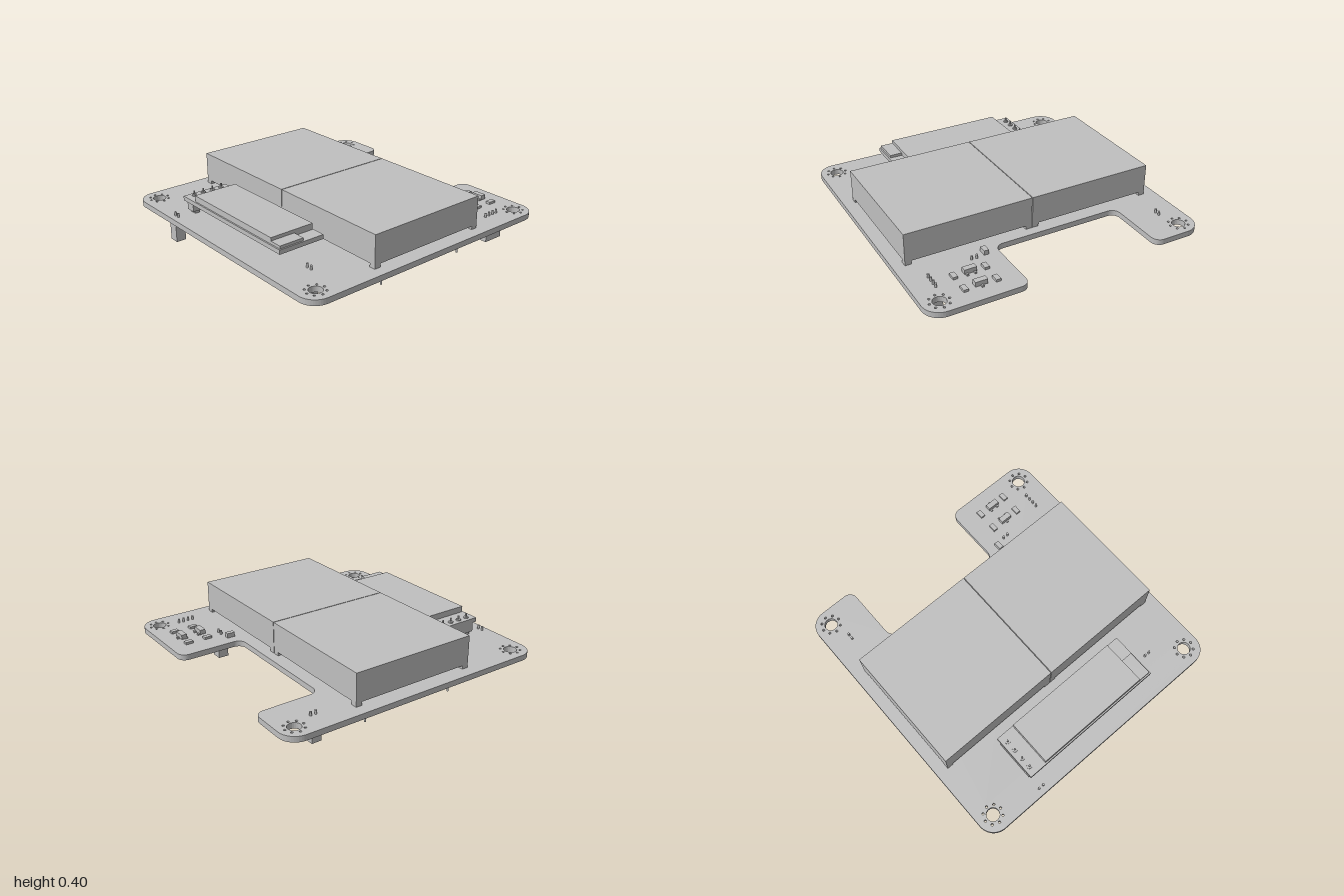
import * as THREE from 'three';

export function createModel() {
  const root = new THREE.Group();
  const grey = new THREE.MeshStandardMaterial({ color: 0xbfbfbf });
  grey.name = 'plain grey';
  const BOTTOM = 0.135, TOP = 0.175;

  const add = (name, geo, parent = root) => {
    const m = new THREE.Mesh(geo, grey);
    m.name = name;
    parent.add(m);
    return m;
  };
  const group = (name) => {
    const g = new THREE.Group();
    g.name = name;
    root.add(g);
    return g;
  };
  // Box given by its extents
  const box = (name, x0, x1, y0, y1, z0, z1, parent) => {
    const g = new THREE.BoxGeometry(x1 - x0, y1 - y0, z1 - z0);
    g.translate((x0 + x1) / 2, (y0 + y1) / 2, (z0 + z1) / 2);
    return add(name, g, parent);
  };
  const pin = (name, x, z, y0, y1, r, parent) => {
    const g = new THREE.CylinderGeometry(r, r, y1 - y0, 10);
    g.translate(x, (y0 + y1) / 2, z);
    return add(name, g, parent);
  };
  // Upright extrusion of a plan drawn as (x, -z)
  const slab = (name, shape, y0, y1, parent) => {
    const g = new THREE.ExtrudeGeometry(shape, { depth: y1 - y0, bevelEnabled: false, curveSegments: 12 });
    g.rotateX(-Math.PI / 2).translate(0, y0, 0);
    return add(name, g, parent);
  };

  // Circuit board with rounded corners and a notch at the back
  const corners = [[-1, -1, 0.12], [1, -1, 0.12], [1, 1, 0.12], [0.325, 1, 0.06],
    [0.325, 0.535, 0.06], [-0.62, 0.535, 0.06], [-0.62, 1, 0.06], [-1, 1, 0.12]];
  const outline = new THREE.Shape();
  corners.forEach(([x, y, r], i) => {
    const p = corners[(i + 7) % 8], n = corners[(i + 1) % 8];
    const ax = x + Math.sign(p[0] - x) * r, ay = y + Math.sign(p[1] - y) * r;
    const bx = x + Math.sign(n[0] - x) * r, by = y + Math.sign(n[1] - y) * r;
    if (i) outline.lineTo(ax, ay); else outline.moveTo(ax, ay);
    const k = 0.552; // circular arc as a cubic curve
    outline.bezierCurveTo(ax + (x - ax) * k, ay + (y - ay) * k, bx + (x - bx) * k, by + (y - by) * k, bx, by);
  });
  outline.closePath();
  const hole = (x, y, r) => outline.holes.push(new THREE.Path().absarc(x, y, r, 0, Math.PI * 2, true));
  for (const x of [-0.885, 0.885]) for (const y of [-0.88, 0.89]) {
    hole(x, y, 0.045);
    for (let i = 0; i < 8; i++) {
      const a = i * Math.PI / 4;
      hole(x + 0.066 * Math.cos(a), y + 0.066 * Math.sin(a), 0.008);
    }
  }
  slab('circuitBoard', outline, BOTTOM, TOP);

  // Two square matrix displays with corner feet and two rows of pins
  for (const [side, x0, x1] of [['right', -0.915, 0], ['left', 0.005, 0.92]]) {
    const g = group(side + 'Display');
    box('displayBody', x0, x1, 0.2, 0.405, -0.465, 0.45, g);
    for (const fx of [x0, x1 - 0.045]) for (const fz of [-0.465, 0.405])
      box('displayFoot', fx, fx + 0.045, TOP, 0.2, fz, fz + 0.045, g);
    const cx = (x0 + x1) / 2;
    for (let i = 0; i < 12; i++) for (const z of [-0.35, 0.34])
      pin('displayPin', cx + (i - 5.5) * 0.0726, z, 0.01, 0.205, 0.007, g);
  }

  // Small screen module on a four-pin header
  const screen = group('screenModule');
  box('screenBoard', -0.55, 0.54, 0.265, 0.296, 0.535, 0.875, screen);
  const glass = new THREE.Shape([[-0.415, -0.54], [-0.415, -0.865], [0.53, -0.865],
    [0.53, -0.685], [0.44, -0.685], [0.44, -0.54]].map(([x, y]) => new THREE.Vector2(x, y)));
  slab('lowerGlass', glass, 0.296, 0.316, screen);
  box('upperGlass', -0.415, 0.44, 0.316, 0.339, 0.54, 0.865, screen);
  box('headerBlock', -0.545, -0.475, 0.195, 0.265, 0.56, 0.85, screen);
  for (let i = 0; i < 4; i++) {
    const z = 0.595 + i * 0.0726;
    box('headerFoot', -0.535, -0.485, TOP, 0.195, z - 0.018, z + 0.018, screen);
    pin('headerPin', -0.51, z, 0.01, 0.3, 0.009, screen);
    pin('headerPinTip', -0.51, z, 0.296, 0.33, 0.006, screen);
    pin('solderJoint', -0.51, z, 0.296, 0.305, 0.018, screen);
  }
  for (const [x, z, w, d, h] of [[-0.285, 0.71, 0.06, 0.12, 0.03], [-0.05, 0.68, 0.05, 0.03, 0.015], [0.115, 0.74, 0.05, 0.03, 0.015]])
    box('screenUnderPart', x - w / 2, x + w / 2, 0.265 - h, 0.265, z - d / 2, z + d / 2, screen);

  // Plug sockets hanging below, with pin tips above the board
  const sockets = [ // x0, x1, z0, z1, pin count, pins along z
    [0.81, 0.88, -0.775, -0.625, 4, true], [0.47, 0.545, -0.64, -0.565, 2, false],
    [0.618, 0.692, 0.705, 0.778, 2, false], [-0.56, -0.488, 0.915, 0.987, 2, false],
    [-0.872, -0.8, -0.76, -0.688, 2, true]];
  for (const [x0, x1, z0, z1, n, alongZ] of sockets) {
    const g = group('socket');
    box('socketBody', x0, x1, 0.004, BOTTOM, z0, z1, g);
    for (let i = 0; i < n; i++) {
      const o = (i - (n - 1) / 2) * 0.0365;
      pin('socketPin', (x0 + x1) / 2 + (alongZ ? 0 : o), (z0 + z1) / 2 + (alongZ ? o : 0), 0.13, 0.203, 0.008, g);
    }
  }

  // Driver chips below: bevelled body and fourteen bent leads a side
  const lead = new THREE.Shape([[0.1, 0.1], [0.142, 0.1], [0.152, 0.126], [0.175, 0.126],
    [0.175, 0.135], [0.143, 0.135], [0.133, 0.109], [0.1, 0.109]].map(([x, y]) => new THREE.Vector2(x, y)));
  const leadGeo = new THREE.ExtrudeGeometry(lead, { depth: 0.015, bevelEnabled: false });
  leadGeo.translate(0, 0, -0.0075).rotateY(-Math.PI / 2);
  const section = new THREE.Shape([[-0.105, 0.055], [0.105, 0.055], [0.12, 0.1], [0.11, 0.128],
    [-0.11, 0.128], [-0.12, 0.1]].map(([x, y]) => new THREE.Vector2(x, y)));
  const bodyGeo = new THREE.ExtrudeGeometry(section, { depth: 0.51, bevelEnabled: false });
  bodyGeo.translate(0, 0, -0.255).rotateY(-Math.PI / 2);
  for (const cx of [-0.455, 0.47]) {
    const g = group('driverChip');
    g.position.set(cx, 0, -0.005);
    add('chipBody', bodyGeo, g);
    for (let i = 0; i < 14; i++) for (const turn of [0, Math.PI]) {
      const l = add('chipLead', leadGeo, g);
      l.position.x = (i - 6.5) * 0.0363;
      l.rotation.y = turn;
    }
  }

  // Small parts on the underside
  const under = [[-0.84, -0.16, 0.07, 0.035], [-0.84, -0.08, 0.07, 0.035], [-0.84, 0.02, 0.07, 0.05],
    [-0.84, 0.155, 0.07, 0.05], [0.1, 0.08, 0.07, 0.05], [0.1, -0.03, 0.07, 0.035],
    [0.03, -0.04, 0.035, 0.06], [-0.03, -0.05, 0.035, 0.06], [-0.7, 0.45, 0.06, 0.09]];
  for (const [x, z, w, d] of under)
    box('undersidePart', x - w / 2, x + w / 2, 0.1, BOTTOM, z - d / 2, z + d / 2);

  // Small parts on top: resistors and three-legged transistors
  for (const z of [-0.86, -0.715]) {
    const s = z < -0.8 ? 1 : -1;
    for (const x of [0.487, 0.707])
      box('resistor', x - 0.017, x + 0.017, TOP, 0.192, z - 0.028, z + 0.028);
    box('transistorBody', 0.555, 0.64, 0.18, 0.213, z - 0.018, z + 0.022);
    for (const [x, e] of [[0.597, -s], [0.57, s], [0.625, s]])
      box('transistorLeg', x - 0.008, x + 0.008, TOP, 0.187, z + e * 0.022 - 0.012, z + e * 0.022 + 0.012);
  }
  box('capacitor', 0.4, 0.434, TOP, 0.208, -0.6, -0.543);

  return root;
}
